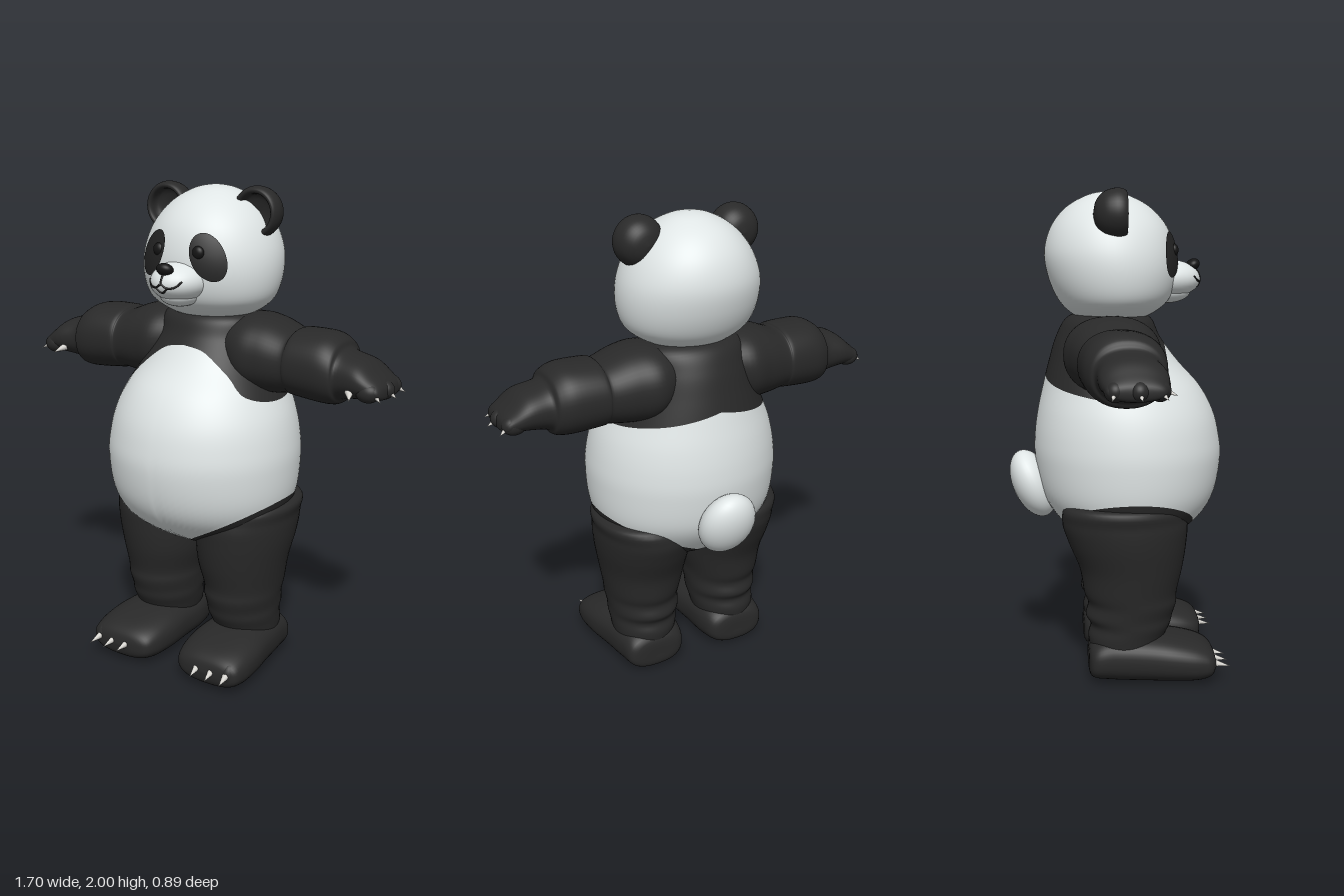
import * as THREE from 'three';
import { mergeVertices } from 'three/addons/utils/BufferGeometryUtils.js';

const colour = (name, hex) => Object.assign(new THREE.MeshStandardMaterial({ color: hex }), { name });

// Smooth surface from a function of (u, v), welded at its seam
function surface(fn, nu, nv) {
  const pos = [], index = [];
  for (let j = 0; j <= nv; j++)
    for (let i = 0; i <= nu; i++) pos.push(...fn((i % nu) / nu, j / nv));
  for (let j = 0; j < nv; j++)
    for (let i = 0; i < nu; i++) {
      const a = j * (nu + 1) + i, b = a + 1, c = a + nu + 1, d = c + 1;
      index.push(a, b, d, a, d, c);
    }
  let geo = new THREE.BufferGeometry();
  geo.setAttribute('position', new THREE.Float32BufferAttribute(pos, 3));
  geo.setIndex(index);
  geo = mergeVertices(geo, 1e-5);
  geo.computeVertexNormals();
  return geo;
}

// Catmull-Rom through rows of numbers, s runs from 0 to rows - 1
function sample(keys, s) {
  const n = keys.length - 1, i = Math.min(Math.floor(s), n - 1), f = s - i;
  const k = (j) => keys[Math.max(0, Math.min(n, j))];
  return keys[i].map((b, c) => {
    const a = k(i - 1)[c], d = k(i + 1)[c], e = k(i + 2)[c];
    return b + 0.5 * f * (d - a + f * (2 * a - 5 * b + 4 * d - e + f * (3 * (b - d) + e - a)));
  });
}

// Finds s where the first column equals t
function solve(keys, t) {
  let lo = 0, hi = keys.length - 1;
  for (let i = 0; i < 30; i++) {
    const mid = (lo + hi) / 2;
    if (sample(keys, mid)[0] < t) lo = mid; else hi = mid;
  }
  return lo;
}

// Point on a ring; a section is [t, sinMin, sinMax, cosMin, cosMax]
function ringPoint([t, s0, s1, c0, c1], angle, axis, power = 1) {
  const bend = (w) => Math.sign(w) * Math.abs(w) ** power;
  const s = (s0 + s1) / 2 + ((s1 - s0) / 2) * bend(Math.sin(angle));
  const c = (c0 + c1) / 2 + ((c1 - c0) / 2) * bend(Math.cos(angle));
  return axis === 'y' ? [s, t, c] : axis === 'x' ? [t, c, s] : [c, s, t];
}

const loft = (keys, axis, power, nu = 48) =>
  surface((u, v) => ringPoint(sample(keys, v * (keys.length - 1)), u * Math.PI * 2, axis, power), nu, (keys.length - 1) * 6);

function ball(x, y, z, rx, ry, rz, tilt = 0) {
  return new THREE.SphereGeometry(1, 32, 24).scale(rx, ry, rz).rotateX(tilt).translate(x, y, z);
}

function claw(from, to, r) {
  const a = new THREE.Vector3(...from), b = new THREE.Vector3(...to), dir = b.clone().sub(a);
  const q = new THREE.Quaternion().setFromUnitVectors(new THREE.Vector3(0, 1, 0), dir.clone().normalize());
  return new THREE.ConeGeometry(r, dir.length(), 12).applyQuaternion(q).translate(...a.add(b).multiplyScalar(0.5).toArray());
}

function mirrored(geo) {
  const g = geo.clone().scale(-1, 1, 1), idx = g.index.array;
  for (let i = 0; i < idx.length; i += 3) [idx[i], idx[i + 1]] = [idx[i + 1], idx[i]];
  return g;
}

// Sections: [y, xMin, xMax, zMin, zMax]
const TORSO = [
  [0.5, 0, 0, 0.05, 0.05], [0.52, -0.13, 0.13, -0.06, 0.14], [0.58, -0.26, 0.26, -0.17, 0.255],
  [0.66, -0.35, 0.35, -0.25, 0.36], [0.76, -0.395, 0.395, -0.31, 0.42], [0.9, -0.408, 0.408, -0.335, 0.445],
  [1.0, -0.4, 0.4, -0.335, 0.437], [1.1, -0.376, 0.376, -0.322, 0.41], [1.2, -0.332, 0.332, -0.3, 0.355],
  [1.3, -0.28, 0.28, -0.275, 0.265], [1.4, -0.24, 0.24, -0.245, 0.19], [1.48, -0.215, 0.215, -0.2, 0.15],
  [1.51, -0.12, 0.12, -0.12, 0.08], [1.515, 0, 0, -0.02, -0.02],
];
const HEAD = [
  [1.472, 0, 0, -0.01, -0.01], [1.48, -0.13, 0.13, -0.13, 0.1], [1.505, -0.205, 0.205, -0.185, 0.165],
  [1.56, -0.268, 0.268, -0.235, 0.225], [1.65, -0.293, 0.293, -0.274, 0.253], [1.75, -0.286, 0.286, -0.289, 0.25],
  [1.85, -0.243, 0.243, -0.262, 0.216], [1.93, -0.172, 0.172, -0.198, 0.145], [1.98, -0.083, 0.083, -0.107, 0.05],
  [1.995, 0, 0, -0.03, -0.03],
];
const LEG = [
  [0.1, 0.08, 0.33, -0.11, 0.16], [0.18, 0.06, 0.34, -0.125, 0.19], [0.23, 0.05, 0.345, -0.115, 0.215],
  [0.27, 0.045, 0.348, -0.135, 0.225], [0.32, 0.04, 0.355, -0.125, 0.24], [0.37, 0.035, 0.362, -0.142, 0.242],
  [0.47, 0.01, 0.378, -0.16, 0.265], [0.58, 0.0, 0.398, -0.205, 0.28], [0.67, 0.01, 0.404, -0.23, 0.28],
  [0.74, 0.06, 0.395, -0.2, 0.23], [0.76, 0.2, 0.2, 0, 0],
];
// Foot: [z, yMin, yMax, xMin, xMax]
const FOOT = [
  [-0.125, 0.08, 0.08, 0.2, 0.2], [-0.115, 0.02, 0.16, 0.09, 0.32], [-0.03, 0.004, 0.2, 0.055, 0.345],
  [0.1, 0, 0.2, 0.05, 0.36], [0.22, 0, 0.19, 0.045, 0.377], [0.33, 0.004, 0.165, 0.06, 0.375],
  [0.385, 0.03, 0.13, 0.1, 0.345], [0.4, 0.08, 0.08, 0.22, 0.22],
];
// Arm: [x, zMin, zMax, yMin, yMax]
const ARM = [
  [0.08, -0.16, 0.1, 1.28, 1.47], [0.2, -0.22, 0.165, 1.2, 1.5], [0.3, -0.2, 0.16, 1.19, 1.49],
  [0.4, -0.172, 0.143, 1.2, 1.455], [0.43, -0.176, 0.152, 1.195, 1.465], [0.55, -0.165, 0.155, 1.185, 1.465],
  [0.61, -0.142, 0.145, 1.19, 1.44], [0.635, -0.12, 0.13, 1.215, 1.405], [0.72, -0.115, 0.14, 1.23, 1.38],
  [0.78, -0.1, 0.13, 1.235, 1.335], [0.815, -0.08, 0.11, 1.245, 1.3], [0.822, 0.01, 0.01, 1.27, 1.27],
];
// Lower edge of the dark chest band: [angle from front in degrees, y]
const BAND = [[0, 1.38], [22, 1.36], [45, 1.28], [60, 1.2], [90, 1.17], [135, 1.2], [180, 1.25]];

export function createModel() {
  const model = new THREE.Group();
  model.name = 'bear';
  const white = colour('white fur', 0xdfe5e5), black = colour('black fur', 0x292929);
  const dark = colour('nose and eyes', 0x151515), patch = colour('eye patch', 0x242424), ivory = colour('claw', 0xd6d4cf);

  const add = (name, geo, mat) => {
    const mesh = new THREE.Mesh(geo, mat);
    mesh.name = name;
    model.add(mesh);
  };
  const pair = (name, geo, mat) => {
    add('left' + name, geo, mat);
    add('right' + name, mirrored(geo), mat);
  };

  // Torso in three colour bands divided by curved edges
  const bandEdge = (a) => {
    const deg = THREE.MathUtils.radToDeg(Math.min(a, Math.PI * 2 - a));
    return sample(BAND, solve(BAND, deg))[1];
  };
  const hipEdge = (a) => (Math.cos(a) > 0 ? 0.515 : 0.56) + (Math.cos(a) > 0 ? 0.255 : 0.21) * Math.abs(Math.sin(a));
  const torsoBand = (low, high) => surface((u, v) => {
    const a = u * Math.PI * 2, s0 = solve(TORSO, low(a)), s1 = solve(TORSO, high(a));
    return ringPoint(sample(TORSO, s0 + (s1 - s0) * v), a, 'y');
  }, 96, 32);
  add('hips', torsoBand(() => 0.5, hipEdge), black);
  add('belly', torsoBand(hipEdge, bandEdge), white);
  add('chest', torsoBand(bandEdge, () => 1.515), black);
  add('tail', ball(0, 0.785, -0.345, 0.122, 0.15, 0.085, -0.4), white);

  // Limbs
  pair('Leg', loft(LEG, 'y'), black);
  pair('Foot', loft(FOOT, 'z', 0.8), black);
  pair('Arm', loft(ARM, 'x', 0.9), black);
  for (const x of [0.18, 0.25, 0.32]) {
    pair('Toe', ball(x, 0.085, 0.34, 0.042, 0.055, 0.055), black);
    pair('FootClaw', claw([x, 0.092, 0.365], [x + 0.01, 0.075, 0.45], 0.02), ivory);
  }
  for (const [z, tip] of [[-0.06, 0.838], [0.025, 0.85], [0.1, 0.828]]) {
    pair('Finger', ball(tip - 0.065, 1.275, z, 0.05, 0.04, 0.04), black);
    pair('HandClaw', claw([tip - 0.045, 1.275, z], [tip, 1.248, z * 1.25], 0.017), ivory);
  }
  pair('ThumbClaw', claw([0.695, 1.27, 0.12], [0.72, 1.25, 0.17], 0.017), ivory);

  // Head with cupped ears
  add('head', loft(HEAD, 'y', 1, 64), white);
  const earProfile = [[0, -0.1], [0.05, -0.09], [0.085, -0.06], [0.1, -0.02], [0.1, 0.01], [0.09, 0.03], [0.075, 0.025], [0.062, -0.01], [0, -0.025]];
  const earCurve = new THREE.SplineCurve(earProfile.map((p) => new THREE.Vector2(...p))).getPoints(32);
  earCurve.forEach((p) => { p.x = Math.max(0, p.x); });
  pair('Ear', new THREE.LatheGeometry(earCurve, 40).rotateX(Math.PI / 2).translate(0.21, 1.897, 0), black);

  // Eye patches follow the head surface
  const headZ = (x, y) => {
    const [, , w, z0, z1] = sample(HEAD, solve(HEAD, y));
    return (z0 + z1) / 2 + ((z1 - z0) / 2) * Math.sqrt(Math.max(0, 1 - (x / w) ** 2));
  };
  pair('EyePatch', surface((u, v) => {
    const a = u * Math.PI * 2, p = 0.098 * (1 - v) * Math.cos(a), q = 0.06 * (1 - v) * Math.sin(a);
    const x = 0.128 - 0.46 * p - 0.89 * q, y = 1.74 + 0.89 * p - 0.46 * q;
    return [x, y, headZ(x, y) + 0.007];
  }, 40, 8), patch);
  pair('Eye', ball(0.092, 1.757, headZ(0.092, 1.757), 0.026, 0.026, 0.018), dark);

  // Muzzle, nose and mouth
  add('muzzle', ball(0, 1.64, 0.215, 0.115, 0.08, 0.14), white);
  add('chin', ball(0, 1.59, 0.215, 0.08, 0.05, 0.1), white);
  add('nose', ball(0, 1.697, 0.325, 0.036, 0.024, 0.03, -0.5), dark);
  const muzzleZ = (x, y) => 0.215 + 0.14 * Math.sqrt(Math.max(0, 1 - (x / 0.115) ** 2 - ((y - 1.64) / 0.08) ** 2));
  const line = (pts) => new THREE.TubeGeometry(
    new THREE.CatmullRomCurve3(pts.map(([x, y]) => new THREE.Vector3(x, y, muzzleZ(x, y)))), 24, 0.004, 8);
  add('lipGroove', line([[0, 1.685], [0, 1.665], [0, 1.645]]), dark);
  pair('Smile', line([[0, 1.645], [0.025, 1.63], [0.055, 1.634], [0.075, 1.655]]), dark);
  add('lowerLip', line([[-0.028, 1.63], [0, 1.61], [0.028, 1.63]]), dark);

  return model;
}
